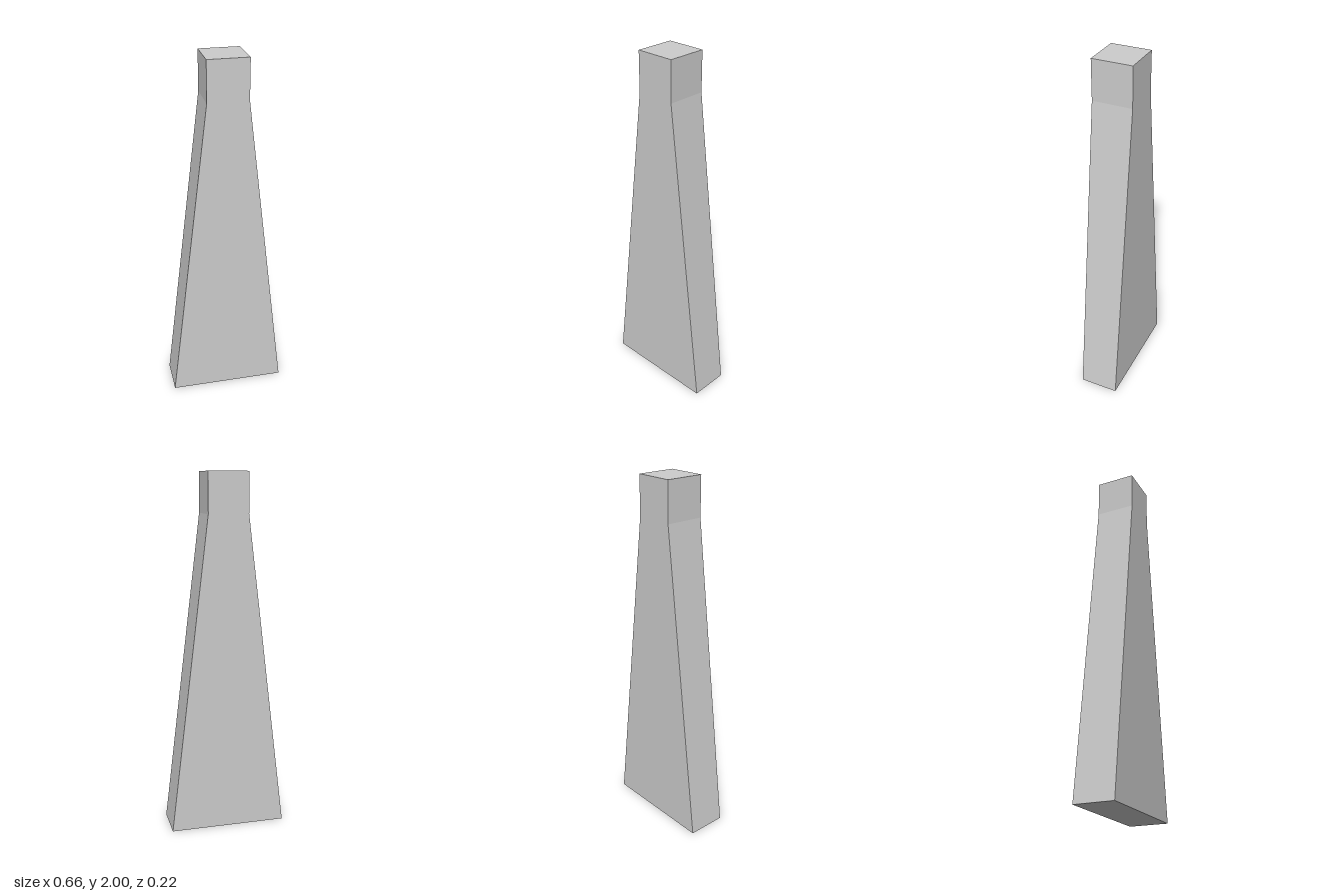
import * as THREE from 'three';

const DEPTH = 0.222;

export function createModel() {
  const group = new THREE.Group();
  group.name = 'taperedPost';

  // Outline: wide foot tapering to a short straight neck, mirrored in x
  const half = [[0.328, 0], [0.111, 1.78], [0.111, 2]];
  const mirrored = half.map(([x, y]) => [-x, y]).reverse();
  const outline = [...half, ...mirrored].map(([x, y]) => new THREE.Vector2(x, y));

  const geometry = new THREE.ExtrudeGeometry(new THREE.Shape(outline), {
    depth: DEPTH,
    bevelEnabled: false,
  });
  geometry.translate(0, 0, -DEPTH / 2);

  const material = new THREE.MeshStandardMaterial({ color: 0xcccccc, flatShading: true });
  const post = new THREE.Mesh(geometry, material);
  post.name = 'post';
  group.add(post);
  return group;
}
